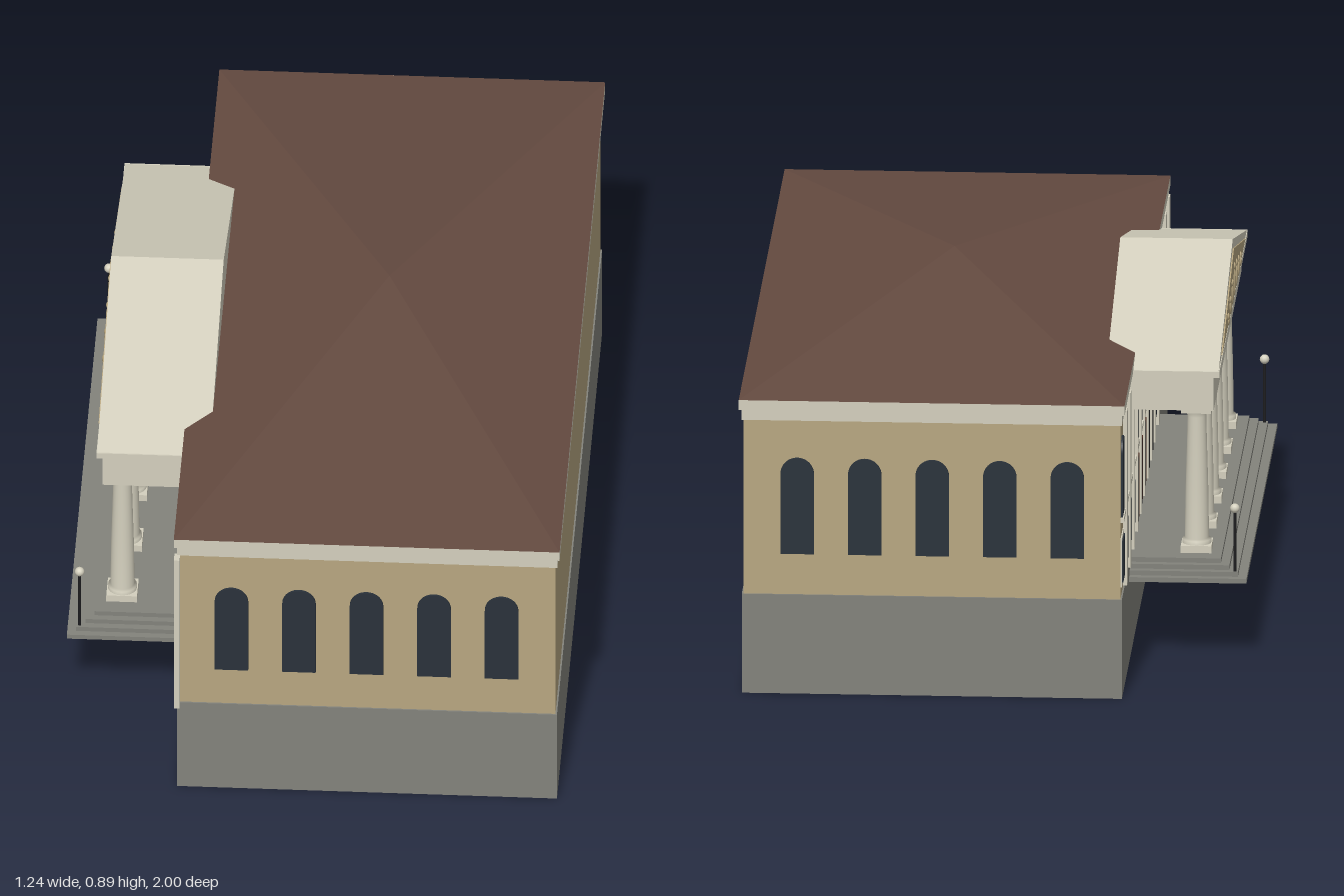
import * as THREE from 'three';

const ZC = -0.008; // centre line of the hall along z
const mat = (name, color) => {
  const m = new THREE.MeshStandardMaterial({ color });
  m.name = name;
  return m;
};

export function createModel() {
  const root = new THREE.Group();
  const wall = mat('tan wall', 0xb8a781);
  const stone = mat('grey stone', 0x83837c);
  const trim = mat('cream trim', 0xd4d0be);
  const roofMat = mat('brown roof', 0x644a40);
  const glass = mat('dark glass', 0x2a323b);
  const wood = mat('door wood', 0x5e3426);
  const iron = mat('black iron', 0x1c1c1e);

  const add = (name, geo, material, x = 0, y = 0, z = 0, parent = root) => {
    const m = new THREE.Mesh(geo, material);
    m.name = name;
    m.position.set(x, y, z);
    parent.add(m);
    return m;
  };
  // box given by its limits
  const box = (name, material, x0, x1, y0, y1, z0, z1) =>
    add(name, new THREE.BoxGeometry(x1 - x0, y1 - y0, z1 - z0), material,
      (x0 + x1) / 2, (y0 + y1) / 2, (z0 + z1) / 2);
  const extrude = (shape, depth) =>
    new THREE.ExtrudeGeometry(shape, { depth, bevelEnabled: false, curveSegments: 12 });
  // round-headed panel, centred on x, standing on y = 0
  const arch = (w, h, depth) => {
    const s = new THREE.Shape();
    s.moveTo(-w / 2, 0);
    s.lineTo(w / 2, 0);
    s.lineTo(w / 2, h - w / 2);
    s.absarc(0, h - w / 2, w / 2, 0, Math.PI, false);
    s.lineTo(-w / 2, 0);
    return extrude(s, depth);
  };
  const gable = (half, h, depth) =>
    extrude(new THREE.Shape([[-half, 0], [half, 0], [0, h]].map(p => new THREE.Vector2(...p))), depth)
      .rotateY(-Math.PI / 2);

  // main block
  box('plinth', stone, -0.33, 0.61, 0, 0.255, ZC - 0.982, ZC + 0.982);
  box('walls', wall, -0.326, 0.606, 0.255, 0.706, ZC - 0.978, ZC + 0.978);
  box('lowerCornice', trim, -0.33, 0.611, 0.704, 0.732, ZC - 0.984, ZC + 0.984);
  box('upperCornice', trim, -0.337, 0.617, 0.732, 0.757, ZC - 0.992, ZC + 0.992);

  // pyramid roof
  const pyramid = new THREE.ConeGeometry(Math.SQRT1_2, 1, 4).rotateY(Math.PI / 4)
    .scale(0.954, 0.108, 1.984).toNonIndexed();
  pyramid.computeVertexNormals();
  add('roof', pyramid, roofMat, 0.14, 0.811, ZC);

  // tall arched windows on both end walls
  for (let i = 0; i < 5; i++) {
    const x = -0.195 + i * 0.167;
    add('endWindow', arch(0.083, 0.247, 0.008), glass, x, 0.36, ZC + 0.976);
    add('endWindow', arch(0.083, 0.247, 0.008).rotateY(Math.PI), glass, x, 0.36, ZC - 0.976);
  }

  // long facade: thirteen bays with pilasters
  const tall = arch(0.075, 0.2, 0.006).rotateY(-Math.PI / 2);
  for (let i = 0; i < 13; i++) {
    const z = -0.928 + i * 0.153;
    add('upperWindow', tall, glass, -0.325, 0.46, z);
    box('upperSill', trim, -0.334, -0.325, 0.448, 0.46, z - 0.045, z + 0.045);
    if (i > 3 && i < 9) {
      box('door', wood, -0.332, -0.325, 0.255, 0.42, z - 0.042, z + 0.042);
      box('doorSeam', iron, -0.334, -0.325, 0.255, 0.42, z - 0.002, z + 0.002);
    } else {
      box('lowerWindowFrame', trim, -0.329, -0.325, 0.282, 0.408, z - 0.045, z + 0.045);
      box('lowerWindow', glass, -0.332, -0.325, 0.292, 0.398, z - 0.036, z + 0.036);
    }
    box('pilaster', trim, -0.336, -0.322, 0.255, 0.705, z + 0.062, z + 0.092);
  }

  // porch floor and steps
  for (let i = 0; i < 4; i++) {
    const e = 0.022 * i;
    box('step', stone, -0.62 + e, -0.32, 0.208 + 0.012 * i, 0.22 + 0.012 * i,
      -0.01 - 0.667 + e * 0.8, -0.01 + 0.667 - e * 0.8);
  }

  // six columns
  const shaft = new THREE.LatheGeometry([[0.036, 0.27], [0.036, 0.284], [0.03, 0.288],
    [0.028, 0.42], [0.023, 0.6], [0.029, 0.617]].map(p => new THREE.Vector2(...p)), 20);
  for (let i = 0; i < 6; i++) {
    const z = -0.543 + i * 0.2132;
    add('columnShaft', shaft, trim, -0.49, 0, z);
    box('columnBase', trim, -0.528, -0.452, 0.255, 0.274, z - 0.038, z + 0.038);
    box('columnCapital', trim, -0.527, -0.453, 0.615, 0.633, z - 0.037, z + 0.037);
  }

  // entablature and pediment
  box('entablature', trim, -0.535, -0.325, 0.632, 0.72, -0.61, 0.59);
  box('porticoCornice', trim, -0.55, -0.3, 0.72, 0.736, -0.622, 0.602);
  add('pediment', gable(0.612, 0.16, 0.278), trim, -0.27, 0.735, -0.01);
  add('tympanum', gable(0.5, 0.125, 0.004), wall, -0.547, 0.746, -0.01);

  // relief figures in the tympanum
  const bead = new THREE.SphereGeometry(1, 10, 8);
  for (let i = -3; i <= 3; i++) {
    const h = 0.085 - Math.abs(i) * 0.019;
    const z = -0.01 + i * 0.085;
    const body = add('reliefBody', bead, wall, -0.551, 0.75 + h * 0.4, z);
    body.scale.set(0.005, h * 0.42, 0.012);
    body.rotation.x = i * 0.2;
    add('reliefHead', bead, wall, -0.551, 0.75 + h * 0.9, z + i * 0.003).scale.set(0.005, 0.009, 0.008);
  }

  // lamp posts at the step corners
  for (const z of [-0.65, 0.63]) {
    add('lampPost', new THREE.CylinderGeometry(0.004, 0.004, 0.165, 10), iron, -0.59, 0.303, z);
    add('lampGlobe', new THREE.SphereGeometry(0.012, 14, 10), trim, -0.59, 0.394, z);
  }

  return root;
}
